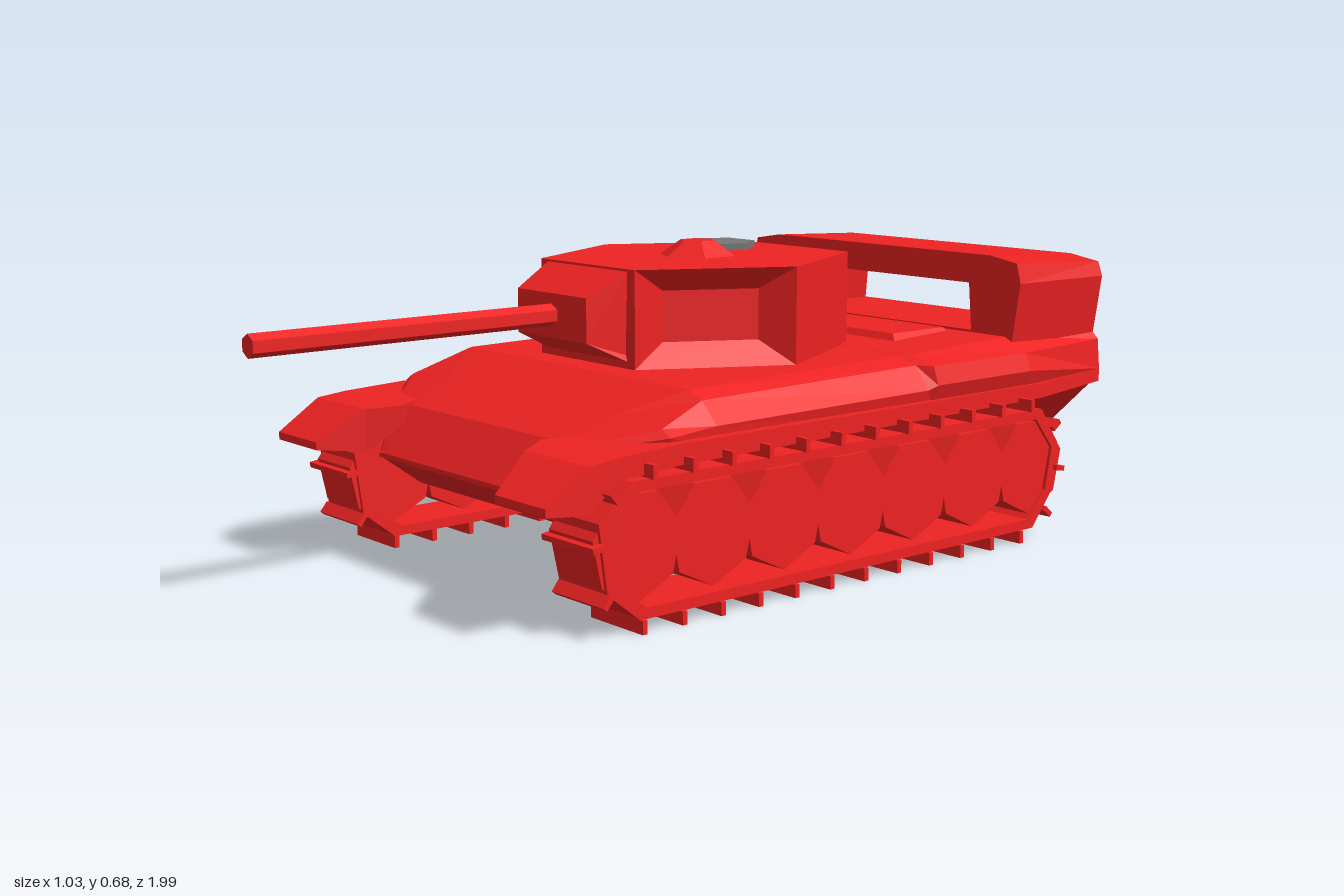
import * as THREE from 'three';

const red = new THREE.MeshStandardMaterial({ color: 0xee2222, flatShading: true, side: THREE.DoubleSide });
const grey = new THREE.MeshStandardMaterial({ color: 0x777777, flatShading: true });

function add(parent, name, geometry, material = red) {
  const mesh = new THREE.Mesh(geometry, material);
  mesh.name = name;
  parent.add(mesh);
  return mesh;
}

function fromTriangles(points) {
  const g = new THREE.BufferGeometry();
  g.setAttribute('position', new THREE.Float32BufferAttribute(points.flat(), 3));
  g.computeVertexNormals();
  return g;
}

// Skin over convex rings [z, [[x, y], ...]], front to back, counter-clockwise seen from +z
function loft(sections) {
  const rings = sections.map(([z, pts]) => pts.map(([x, y]) => [x, y, z]));
  const tris = [], n = rings[0].length, last = rings[rings.length - 1];
  for (let i = 0; i < rings.length - 1; i++) {
    for (let k = 0; k < n; k++) {
      const a = rings[i][k], b = rings[i][(k + 1) % n];
      const d = rings[i + 1][k], c = rings[i + 1][(k + 1) % n];
      tris.push(a, d, b, b, d, c);
    }
  }
  for (let k = 1; k < n - 1; k++) {
    tris.push(rings[0][0], rings[0][k], rings[0][k + 1], last[0], last[k + 1], last[k]);
  }
  return fromTriangles(tris);
}

// Right-hand half profile (bottom to top) completed by its mirror image
const mirrored = (half) => [...half, ...half.map(([x, y]) => [-x, y]).reverse()];

// Extrude a (z, y) outline across x, centred on x = 0
function extrudeX(outline, width, hole) {
  const shape = new THREE.Shape(outline.map((p) => new THREE.Vector2(...p)));
  if (hole) shape.holes.push(new THREE.Path(hole.map((p) => new THREE.Vector2(...p))));
  return new THREE.ExtrudeGeometry(shape, { depth: width, bevelEnabled: false })
    .rotateY(-Math.PI / 2).translate(width / 2, 0, 0);
}

function buildHull(model) {
  add(model, 'lowerHull', loft([
    [0.55, [[0.27, 0.238], [0.27, 0.245]]],
    [0.4, [[0.34, 0.145], [0.34, 0.33]]],
    [-0.75, [[0.34, 0.145], [0.34, 0.33]]],
    [-0.99, [[0.25, 0.15], [0.445, 0.335]]],
  ].map(([z, h]) => [z, mirrored(h)])));
  add(model, 'upperHull', loft([
    [0.55, [[0.27, 0.235], [0.27, 0.24], [0.265, 0.243], [0.25, 0.245]]],
    [0.47, [[0.34, 0.25], [0.34, 0.33], [0.32, 0.335], [0.25, 0.34]]],
    [0.35, [[0.45, 0.32], [0.465, 0.36], [0.44, 0.375], [0.3, 0.385]]],
    [0.23, [[0.46, 0.33], [0.465, 0.37], [0.42, 0.415], [0.38, 0.432]]],
    [-0.38, [[0.46, 0.33], [0.47, 0.375], [0.43, 0.425], [0.38, 0.44]]],
    [-0.4, [[0.46, 0.33], [0.48, 0.385], [0.465, 0.425], [0.4, 0.443]]],
    [-0.71, [[0.46, 0.33], [0.48, 0.385], [0.465, 0.425], [0.4, 0.455]]],
    [-0.99, [[0.445, 0.33], [0.457, 0.36], [0.45, 0.43], [0.43, 0.45]]],
  ].map(([z, h]) => [z, mirrored(h)])));

  // Raised engine cover with sloped edges
  const rect = (x, z, y) => [[-x, y, -0.6 - z], [-x, y, -0.6 + z], [x, y, -0.6 + z], [x, y, -0.6 - z]];
  const low = rect(0.255, 0.1, 0.442), high = rect(0.235, 0.085, 0.462), tris = [];
  for (let i = 0; i < 4; i++) {
    const j = (i + 1) % 4;
    tris.push(low[i], low[j], high[j], low[i], high[j], high[i]);
  }
  tris.push(high[0], high[1], high[2], high[0], high[2], high[3]);
  add(model, 'engineCover', fromTriangles(tris));

  // Rear superstructure with an opening right through it
  const outline = mirrored([[0.42, 0.43], [0.442, 0.58], [0.43, 0.625], [0.35, 0.638]]);
  const shape = new THREE.Shape(outline.map((p) => new THREE.Vector2(...p)));
  shape.holes.push(new THREE.Path([[-0.3, 0.46], [-0.29, 0.57], [0.29, 0.57], [0.3, 0.46]]
    .map((p) => new THREE.Vector2(...p))));
  const frame = new THREE.ExtrudeGeometry(shape, { depth: 0.28, bevelEnabled: false }).translate(0, 0, -0.99);
  const pos = frame.attributes.position;
  for (let i = 0; i < pos.count; i++) {
    if (pos.getZ(i) < -0.9) {
      pos.setX(i, pos.getX(i) * 1.03);
      if (pos.getY(i) > 0.6) pos.setY(i, pos.getY(i) - 0.012);
    }
  }
  frame.computeVertexNormals();
  add(model, 'rearSuperstructure', frame);
}

// Fender sections: z, inner x, outer x, bottom y, top y
const fenderSections = [
  [0.67, 0.33, 0.49, 0.255, 0.272], [0.57, 0.29, 0.49, 0.245, 0.338], [0.5, 0.25, 0.49, 0.3, 0.345],
  [0.35, 0.33, 0.488, 0.31, 0.352], [-0.75, 0.33, 0.478, 0.318, 0.352], [-0.99, 0.33, 0.457, 0.33, 0.36],
];

// Track outline in (z, y), counter-clockwise from the front top
const trackPath = [[0.48, 0.3], [-0.72, 0.3], [-0.78, 0.215], [-0.76, 0.1], [-0.7, 0.027],
  [0.46, 0.027], [0.54, 0.09], [0.56, 0.23]];

function buildSide(model, side) {
  const group = new THREE.Group();
  group.name = side > 0 ? 'leftRunningGear' : 'rightRunningGear';
  model.add(group);

  add(group, 'fender', loft(fenderSections.map(([z, a, b, lo, hi]) => {
    const ring = [[a, lo], [b, lo], [b, hi], [a, hi]].map(([x, y]) => [x * side, y]);
    return [z, side > 0 ? ring : ring.reverse()];
  })));

  const inner = trackPath.map(([z, y]) => [-0.11 + (z + 0.11) * 0.97, 0.165 + (y - 0.165) * 0.84]);
  add(group, 'trackBand', extrudeX(trackPath, 0.15, inner)).position.x = side * 0.432;

  // Cleats spaced evenly round the band
  const curve = new THREE.CurvePath();
  trackPath.forEach((p, i) => curve.add(new THREE.LineCurve(
    new THREE.Vector2(...p), new THREE.Vector2(...trackPath[(i + 1) % trackPath.length]))));
  const cleat = new THREE.BoxGeometry(0.16, 0.028, 0.012), count = 30;
  for (let i = 0; i < count; i++) {
    const t = (i + 0.5) / count, p = curve.getPointAt(t), d = curve.getTangentAt(t);
    const mesh = add(group, 'trackCleat', cleat);
    mesh.position.set(side * 0.436, p.y + d.x * -0.013, p.x + d.y * 0.013);
    mesh.rotation.x = Math.atan2(-d.y, d.x);
  }

  // Seven-sided road wheels, one corner pointing down
  const wheel = new THREE.CylinderGeometry(0.112, 0.112, 0.135, 7).rotateZ(Math.PI / 2);
  const angle = Math.PI / 2;
  wheel.computeBoundingBox();
  for (let i = 0; i < 7; i++) {
    const mesh = add(group, 'roadWheel', wheel);
    mesh.position.set(side * 0.432, 0.172, 0.46 - i * 0.192);
    mesh.rotation.x = angle;
  }
}

function buildTurret(model) {
  const turret = new THREE.Group();
  turret.name = 'turret';
  model.add(turret);
  const lo = 0.44, hi = 0.65;
  const plan = [[0.162, 0.19], [0.325, -0.12], [0.165, -0.435], [-0.165, -0.435], [-0.325, -0.12], [-0.162, 0.19]];
  const tris = [];
  const quad = (a, b, c, d) => tris.push(a, b, c, a, c, d);
  plan.forEach((p, i) => {
    const q = plan[(i + 1) % 6];
    const wall = [[p[0], lo, p[1]], [q[0], lo, q[1]], [q[0], hi, q[1]], [p[0], hi, p[1]]];
    if (i === 0 || i === 4) {
      // Front cheeks carry a sunken panel
      const dx = q[0] - p[0], dz = q[1] - p[1], len = Math.hypot(dx, dz);
      const at = (t, y) => [p[0] + dx * t + dz / len * 0.05, y, p[1] + dz * t - dx / len * 0.05];
      const panel = [at(0.2, 0.49), at(0.8, 0.49), at(0.8, 0.6), at(0.2, 0.6)];
      for (let k = 0; k < 4; k++) quad(wall[k], wall[(k + 1) % 4], panel[(k + 1) % 4], panel[k]);
      quad(...panel);
    } else quad(...wall);
  });
  for (let i = 1; i < 5; i++) {
    for (const [y, a, b] of [[hi, i, i + 1], [lo, i + 1, i]]) {
      tris.push(...[0, a, b].map((k) => [plan[k][0], y, plan[k][1]]));
    }
  }
  // Points run clockwise from outside, so flip each triangle
  for (let i = 0; i < tris.length; i += 3) [tris[i + 1], tris[i + 2]] = [tris[i + 2], tris[i + 1]];
  // Walls and lids share one orientation rule: plan order seen from above
  add(turret, 'turretBody', fromTriangles(orientOutward(tris, new THREE.Vector3(0, 0.55, -0.12))));

  const mantlet = extrudeX([[0.15, 0.455], [0.19, 0.455], [0.285, 0.5], [0.285, 0.595], [0.19, 0.645], [0.15, 0.645]], 0.275);
  const pos = mantlet.attributes.position;
  for (let i = 0; i < pos.count; i++) if (pos.getZ(i) > 0.25) pos.setX(i, pos.getX(i) * 0.87);
  mantlet.computeVertexNormals();
  add(turret, 'gunMantlet', mantlet);

  add(turret, 'gunBarrel', new THREE.CylinderGeometry(0.024, 0.024, 0.74, 6).rotateX(Math.PI / 2))
    .position.set(0, 0.549, 0.63);
  add(turret, 'cupola', new THREE.CylinderGeometry(0.04, 0.09, 0.035, 6)).position.set(0, 0.666, -0.125);
  add(turret, 'hatch', new THREE.CylinderGeometry(0.088, 0.088, 0.02, 6).rotateY(Math.PI / 6), grey)
    .position.set(-0.1, 0.655, -0.275);
}

// Turn every triangle to face away from the centre
function orientOutward(tris, centre) {
  const tri = new THREE.Triangle(), n = new THREE.Vector3(), mid = new THREE.Vector3();
  for (let i = 0; i < tris.length; i += 3) {
    tri.set(...[0, 1, 2].map((k) => new THREE.Vector3(...tris[i + k])));
    if (tri.getNormal(n).dot(tri.getMidpoint(mid).sub(centre)) < 0) [tris[i + 1], tris[i + 2]] = [tris[i + 2], tris[i + 1]];
  }
  return tris;
}

export function createModel() {
  const model = new THREE.Group();
  model.name = 'trackedVehicle';
  buildHull(model);
  for (const side of [1, -1]) buildSide(model, side);
  buildTurret(model);
  return model;
}
